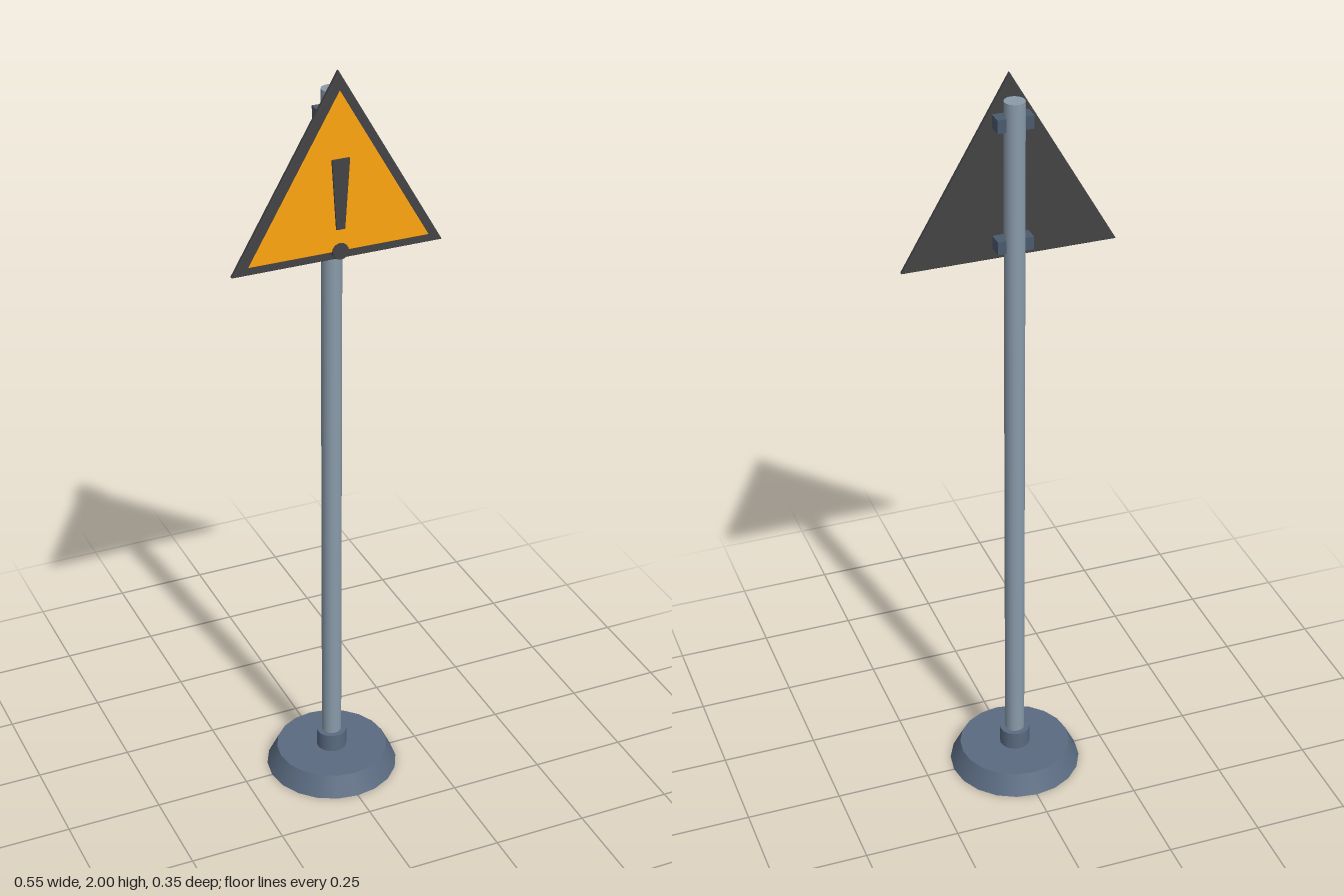
import * as THREE from 'three';

const mat = (color) => new THREE.MeshStandardMaterial({ color });
const steel = mat(0x8a9bab);
const slate = mat(0x5a6a80);
const bracketMat = mat(0x4a5a6e);
const charcoal = mat(0x434345);
const amber = mat(0xffa510);

export function createModel() {
  const model = new THREE.Group();

  const add = (name, geometry, material, x = 0, y = 0, z = 0) => {
    const mesh = new THREE.Mesh(geometry, material);
    mesh.name = name;
    mesh.position.set(x, y, z);
    model.add(mesh);
    return mesh;
  };

  // Upright cylinder between two heights
  const column = (name, rTop, rBottom, y0, y1, sides, material) =>
    add(name, new THREE.CylinderGeometry(rTop, rBottom, y1 - y0, sides), material, 0, (y0 + y1) / 2);

  // Flat panel from an outline, spanning z0 to z1, with chamfered edges inside the outline
  const panel = (name, points, z0, z1, bevel, material) => {
    const shape = new THREE.Shape(points.map(([x, y]) => new THREE.Vector2(x, y)));
    const geometry = new THREE.ExtrudeGeometry(shape, {
      depth: z1 - z0 - 2 * bevel,
      bevelEnabled: bevel > 0,
      bevelThickness: bevel,
      bevelSize: bevel,
      bevelOffset: -bevel,
      bevelSegments: 1,
    });
    return add(name, geometry, material, 0, 0, z0 + bevel);
  };

  // Weighted foot, collar and pole
  column('base', 0.148, 0.175, 0, 0.055, 20, slate);
  column('collar', 0.04, 0.04, 0.055, 0.105, 16, slate);
  column('pole', 0.026, 0.026, 0.055, 1.943, 16, steel);

  // Brackets holding the sign to the pole
  for (const [name, y] of [['lowerBracket', 1.571], ['upperBracket', 1.887]]) {
    add(name, new THREE.BoxGeometry(0.092, 0.034, 0.04), bracketMat, 0, y, 0.01);
  }

  // Triangular plate and its coloured face
  panel('signPlate', [[-0.275, 1.524], [0.275, 1.524], [0, 2]], 0.028, 0.045, 0.004, charcoal);
  panel('signFace', [[-0.235, 1.547], [0.235, 1.547], [0, 1.954]], 0.045, 0.051, 0.002, amber);

  // Warning mark: tapered bar and round dot
  panel('warningBar', [[-0.011, 1.606], [0.011, 1.606], [0.023, 1.786], [-0.023, 1.786]], 0.049, 0.056, 0, charcoal);
  const dot = add('warningDot', new THREE.CylinderGeometry(0.021, 0.021, 0.012, 16), charcoal, 0, 1.548, 0.05);
  dot.rotation.x = Math.PI / 2;

  return model;
}
